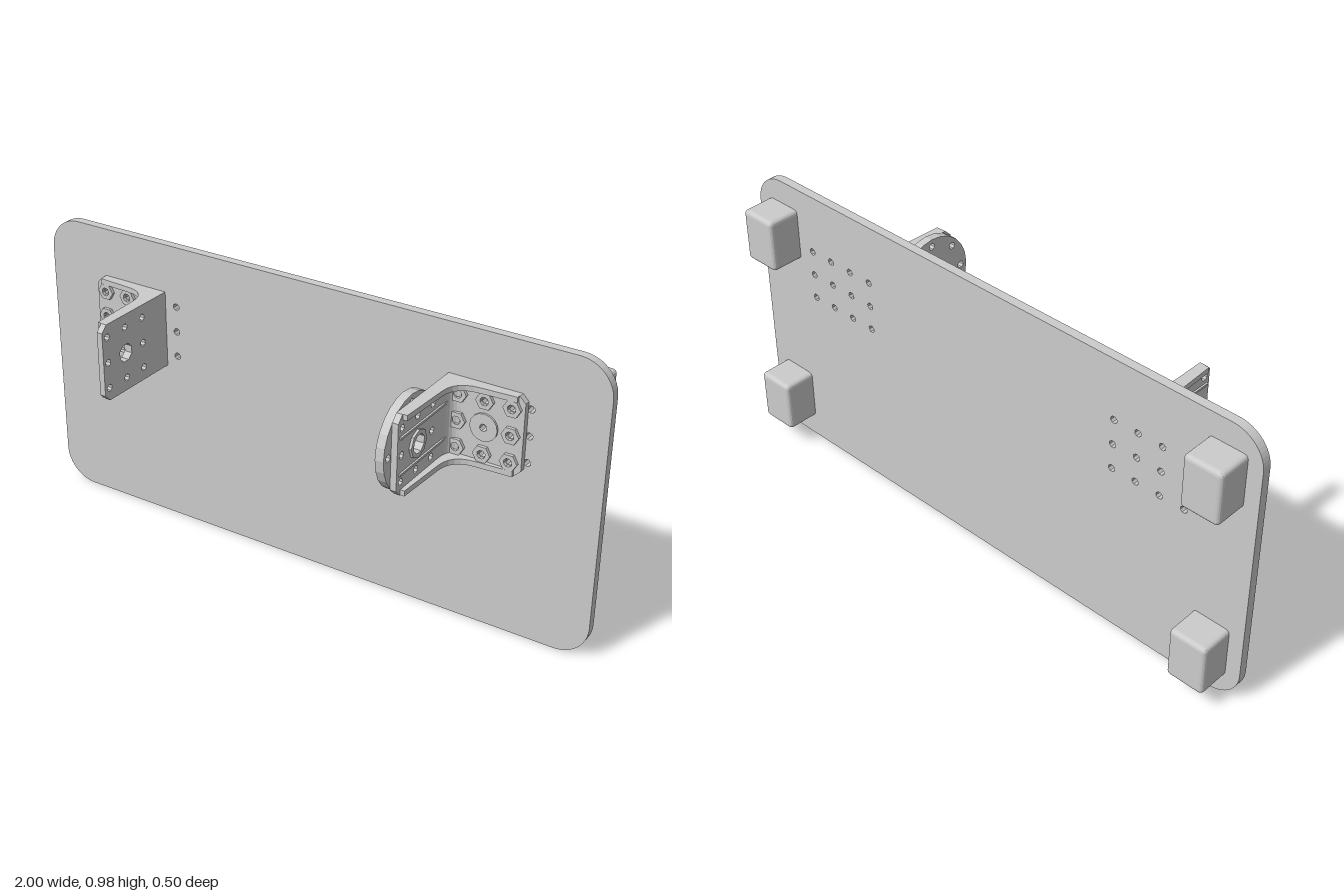
import * as THREE from 'three';
import { RoundedBoxGeometry } from 'three/addons/geometries/RoundedBoxGeometry.js';

const material = new THREE.MeshStandardMaterial({ color: 0xcccccc, flatShading: true });
const PITCH = 0.087;
const AXLE_Y = 0.687;
const STEPS = [-PITCH, 0, PITCH];

function add(parent, name, geometry, x = 0, y = 0, z = 0) {
  const mesh = new THREE.Mesh(geometry, material);
  mesh.name = name;
  mesh.position.set(x, y, z);
  parent.add(mesh);
  return mesh;
}

// Regular polygon, used for holes, nuts and discs
function polygon(Type, x, y, r, sides, turn = 0) {
  const pts = [];
  for (let i = 0; i < sides; i++) {
    const a = turn + (i / sides) * Math.PI * 2;
    pts.push(new THREE.Vector2(x + r * Math.cos(a), y + r * Math.sin(a)));
  }
  return new Type(pts);
}
const hole = (x, y, r, sides = 8) => polygon(THREE.Path, x, y, r, sides, Math.PI / 8);

function ringShape(r, inner, sides, innerSides = 8) {
  const s = polygon(THREE.Shape, 0, 0, r, sides);
  s.holes.push(hole(0, 0, inner, innerSides));
  return s;
}

const extrude = (shape, depth) =>
  new THREE.ExtrudeGeometry(shape, { depth, bevelEnabled: false, curveSegments: 6 });
// Shape drawn in (z, y), thickened along +x
const extrudeX = (shape, depth) => extrude(shape, depth).rotateY(-Math.PI / 2).translate(depth, 0, 0);
// Shape drawn in (x, z), thickened along y and centred
const extrudeY = (shape, depth) => extrude(shape, depth).rotateX(Math.PI / 2).translate(0, depth / 2, 0);

// Bracket panel running from u = 0 to length, outer corners cut off
function panelShape(length, half, cut) {
  return new THREE.Shape([
    [0, -half], [length - cut, -half], [length, -half + cut],
    [length, half - cut], [length - cut, half], [0, half],
  ].map(([u, v]) => new THREE.Vector2(u, v)));
}

function createBoard() {
  const w = 1, h = 0.98, r = 0.11;
  const s = new THREE.Shape();
  s.moveTo(-w + r, 0);
  s.lineTo(w - r, 0);
  s.quadraticCurveTo(w - r * 0.2, r * 0.2, w, r);
  s.curves.pop();
  s.absarc(w - r, r, r, -Math.PI / 2, 0);
  s.absarc(w - r, h - r, r, 0, Math.PI / 2);
  s.absarc(-w + r, h - r, r, Math.PI / 2, Math.PI);
  s.absarc(-w + r, r, r, Math.PI, Math.PI * 1.5);
  // Mounting holes, four by three on each side
  for (const side of [-1, 1])
    for (let i = 0; i < 4; i++)
      for (const dy of STEPS) s.holes.push(hole(side * (0.498 + i * PITCH), AXLE_Y + dy, 0.012));
  return extrude(s, 0.03);
}

// L-shaped bracket: foot in the xy plane, arm in the yz plane, corner at the origin
function createBracket(name) {
  const g = new THREE.Group();
  g.name = name;
  const W = 0.26, L = 0.32, H = 0.13, T = 0.02, FX = 0.135, AZ = 0.21;

  const foot = panelShape(W, H, 0.02);
  const arm = panelShape(L, H, 0.022);
  for (const a of STEPS)
    for (const b of STEPS) {
      const centre = a === 0 && b === 0;
      foot.holes.push(hole(FX + a, b, 0.012));
      arm.holes.push(hole(AZ + a, b, centre ? 0.031 : 0.012));
      // Raised seats around the holes
      const seat = centre ? ringShape(0.045, 0.012, 16) : ringShape(0.029, 0.014, 6);
      add(g, 'footHoleSeat', extrude(seat, centre ? 0.008 : 0.012), FX + a, b, T - 0.001);
    }
  add(g, 'foot', extrude(foot, T));
  add(g, 'arm', extrudeX(arm, T));
  add(g, 'armHubSeat', extrudeX(ringShape(0.045, 0.031, 8), 0.009), T - 0.001, 0, AZ);

  // Side webs with a wide inner fillet
  const web = new THREE.Shape();
  web.moveTo(0.005, 0.005);
  web.lineTo(W - 0.022, 0.005);
  web.lineTo(W - 0.022, 0.03);
  web.lineTo(0.125, 0.036);
  web.quadraticCurveTo(0.045, 0.038, 0.042, 0.115);
  web.lineTo(0.034, L - 0.024);
  web.lineTo(0.005, L - 0.024);
  web.closePath();
  for (const s of [-1, 1]) {
    add(g, 'sideWeb', extrudeY(web, 0.018), 0, s * (H - 0.009), 0);
    // Fine ribs along the arm
    add(g, 'armRib', new THREE.BoxGeometry(0.008, 0.007, 0.27), T + 0.002, s * 0.059, 0.175);
  }

  // Small fillet in the middle of the corner
  const fillet = new THREE.Shape();
  fillet.moveTo(0.015, 0.015);
  fillet.lineTo(0.055, 0.015);
  fillet.lineTo(0.055, T);
  fillet.quadraticCurveTo(T, T, T, 0.085);
  fillet.lineTo(0.015, 0.085);
  fillet.closePath();
  add(g, 'cornerFillet', extrudeY(fillet, 2 * H - 0.036));
  return g;
}

// Round drive disc with a ring of holes and a central hub
function createHorn() {
  const g = new THREE.Group();
  g.name = 'driveDisc';
  const disc = ringShape(0.15, 0.031, 24);
  for (let i = 0; i < 8; i++) {
    const a = (i / 8) * Math.PI * 2;
    disc.holes.push(hole(0.124 * Math.cos(a), 0.124 * Math.sin(a), 0.012));
  }
  add(g, 'disc', extrudeX(disc, 0.028));
  add(g, 'hub', extrudeX(ringShape(0.053, 0.031, 16), 0.021), -0.02, 0, 0);
  return g;
}

export function createModel() {
  const model = new THREE.Group();
  model.name = 'mountingBoard';
  add(model, 'board', createBoard(), 0, 0, -0.14);

  // Four feet on the back
  for (const x of [-0.885, 0.885])
    for (const y of [0.17, 0.81])
      add(model, 'backFoot', new RoundedBoxGeometry(0.13, 0.18, 0.125, 2, 0.014), x, y, -0.1875);

  const left = createBracket('leftBracket');
  left.position.set(0.49, AXLE_Y, -0.11);
  const right = createBracket('rightBracket');
  right.rotation.z = Math.PI;
  right.position.set(-0.54, AXLE_Y, -0.11);

  const horn = createHorn();
  horn.position.set(0.461, AXLE_Y, 0.1);
  model.add(left, right, horn);
  return model;
}
